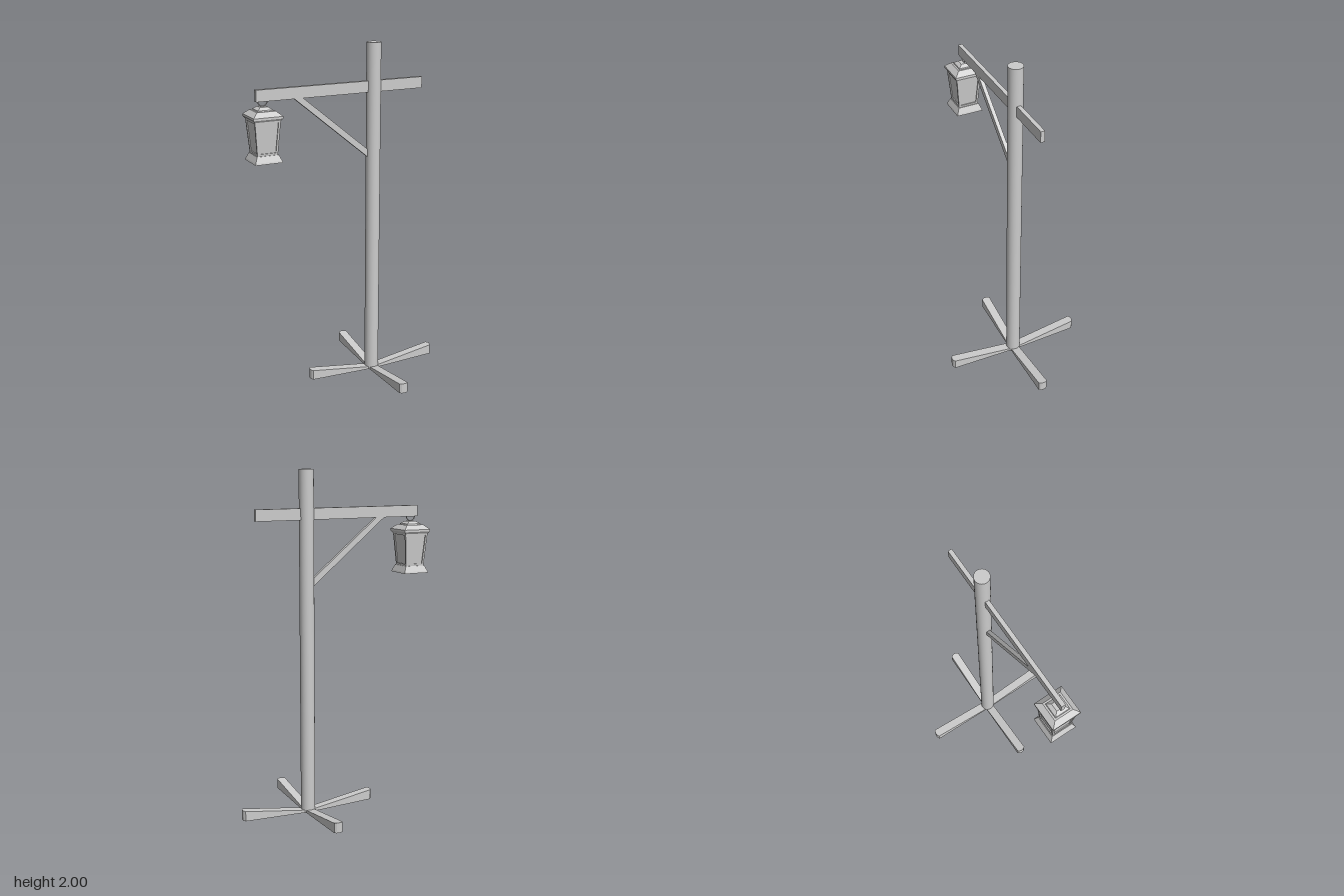
import * as THREE from 'three';

const mat = new THREE.MeshStandardMaterial({ color: 0xcccccc });
const flatMat = new THREE.MeshStandardMaterial({ color: 0xcccccc, flatShading: true });
const POLE_X = 0.17;
const LAMP_X = -0.505;

function add(parent, name, geometry, material = flatMat) {
  const mesh = new THREE.Mesh(geometry, material);
  mesh.name = name;
  parent.add(mesh);
  return mesh;
}

// Square turned body from [halfWidth, y] pairs, listed bottom to top
function squareLathe(profile) {
  const pts = profile.map(([h, y]) => new THREE.Vector2(h * Math.SQRT2, y));
  return new THREE.LatheGeometry(pts, 4, Math.PI / 4);
}

// Foot along +x: blunt rounded tip, rising and thickening outwards
function footGeometry() {
  const len = 0.415, w = 0.026;
  const plan = new THREE.Shape([
    [0, -w], [0.405, -w], [0.413, -0.014], [len, 0], [0.413, 0.014], [0.405, w], [0, w],
  ].map(([x, y]) => new THREE.Vector2(x, y)));
  const geo = new THREE.ExtrudeGeometry(plan, { depth: 1, bevelEnabled: false });
  geo.rotateX(-Math.PI / 2);
  const p = geo.attributes.position;
  for (let i = 0; i < p.count; i++) {
    const t = p.getX(i) / len;
    p.setY(i, p.getY(i) > 0.5 ? 0.012 + 0.062 * t : 0.014 * t);
  }
  geo.computeVertexNormals();
  return geo;
}

function createLantern() {
  const lantern = new THREE.Group();
  lantern.name = 'lantern';
  const y0 = 1.43, y1 = 1.63;
  const halfAt = (y) => 0.059 + 0.016 * (y - y0) / (y1 - y0);

  add(lantern, 'lanternBase', squareLathe(
    [[0, 1.39], [0.08, 1.39], [0.077, 1.4], [0.063, 1.432], [0, 1.432]]));
  add(lantern, 'lanternPanes', squareLathe(
    [[halfAt(y0) - 0.006, y0], [halfAt(y1) - 0.006, y1]]));

  // Rails above and below the panes
  for (const [name, a, b] of [['lowerRail', y0, y0 + 0.014], ['upperRail', y1 - 0.016, y1]]) {
    add(lantern, name, squareLathe(
      [[halfAt(a) - 0.008, a], [halfAt(a), a], [halfAt(b), b], [halfAt(b) - 0.008, b]]));
  }

  // Corner posts lean outwards with the body
  for (const sx of [-1, 1]) for (const sz of [-1, 1]) {
    const w = 0.012;
    const geo = new THREE.BoxGeometry(w, y1 - y0, w).translate(0, (y0 + y1) / 2, 0);
    const p = geo.attributes.position;
    for (let i = 0; i < p.count; i++) {
      const c = halfAt(p.getY(i)) - w / 2;
      p.setX(i, p.getX(i) + sx * c);
      p.setZ(i, p.getZ(i) + sz * c);
    }
    add(lantern, 'cornerPost', geo);
  }

  // Stepped roof
  add(lantern, 'lanternRoof', squareLathe([
    [0, 1.622], [0.076, 1.622], [0.085, 1.634], [0.085, 1.646], [0.055, 1.672],
    [0.045, 1.672], [0.043, 1.678], [0.023, 1.692], [0, 1.692]]));

  // Hanging loop under the beam
  const ring = add(lantern, 'hangingRing', new THREE.TorusGeometry(0.027, 0.003, 8, 24, Math.PI), mat);
  ring.rotation.z = Math.PI;
  ring.position.y = 1.721;

  lantern.position.x = LAMP_X;
  return lantern;
}

export function createModel() {
  const model = new THREE.Group();
  model.name = 'lampPost';

  const pole = add(model, 'pole', new THREE.CylinderGeometry(0.042, 0.042, 2, 32), mat);
  pole.position.set(POLE_X, 1, 0);

  const beam = add(model, 'crossBeam', new THREE.BoxGeometry(1.025, 0.065, 0.024));
  beam.position.set(-0.033, 1.752, 0);

  // Diagonal brace, cut to meet beam and pole
  const brace = new THREE.Shape([[-0.325, 1.722], [0.14, 1.337], [0.14, 1.382], [-0.272, 1.722]]
    .map(([x, y]) => new THREE.Vector2(x, y)));
  add(model, 'brace', new THREE.ExtrudeGeometry(brace, { depth: 0.022, bevelEnabled: false })
    .translate(0, 0, -0.011));

  // Four feet in a cross
  const foot = footGeometry();
  for (let i = 0; i < 4; i++) {
    const mesh = add(model, 'foot', foot);
    mesh.position.x = POLE_X;
    mesh.rotation.y = i * Math.PI / 2;
  }

  model.add(createLantern());
  return model;
}
